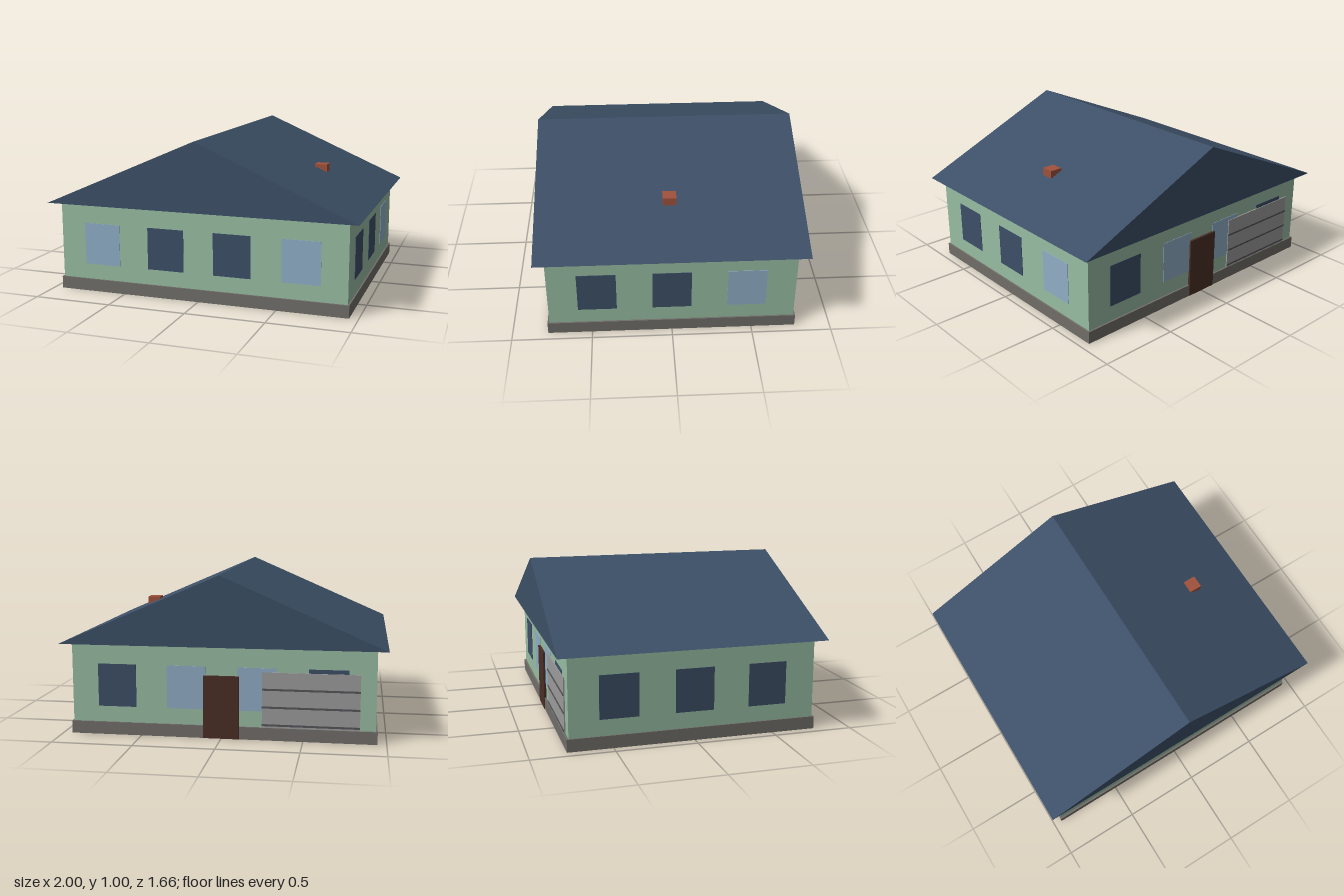
import * as THREE from 'three';

const mat = (name, color) => {
  const m = new THREE.MeshStandardMaterial({ color });
  m.name = name;
  return m;
};

export function createModel() {
  const house = new THREE.Group();
  house.name = 'house';

  const wallGreen = mat('wall green', 0x98bda3);
  const slate = mat('roof slate blue', 0x3d5067);
  const stone = mat('foundation grey', 0x716e69);
  const darkGlass = mat('dark glass', 0x3d4f67);
  const lightGlass = mat('light glass', 0x90aec6);
  const brick = mat('chimney brick', 0xa0523d);
  const wood = mat('door brown', 0x4a2f26);
  const panelGrey = mat('garage grey', 0x9c9c9c);
  const grooveGrey = mat('groove grey', 0x55555a);

  const add = (name, geometry, material, x = 0, y = 0, z = 0) => {
    const mesh = new THREE.Mesh(geometry, material);
    mesh.name = name;
    mesh.position.set(x, y, z);
    house.add(mesh);
    return mesh;
  };
  // Box given by its low and high corners
  const block = (name, material, [x0, y0, z0], [x1, y1, z1]) =>
    add(name, new THREE.BoxGeometry(x1 - x0, y1 - y0, z1 - z0), material,
      (x0 + x1) / 2, (y0 + y1) / 2, (z0 + z1) / 2);

  const WX = 0.935, WZ = 0.765, EAVES = 0.572;

  // Walls, closed underneath
  block('walls', wallGreen, [-WX, 0, -WZ], [WX, EAVES, WZ]);

  // Foundation band around the foot of the walls
  const rect = (Type, w, d) => new Type([
    new THREE.Vector2(-w, -d), new THREE.Vector2(w, -d),
    new THREE.Vector2(w, d), new THREE.Vector2(-w, d),
  ]);
  const band = rect(THREE.Shape, 0.945, 0.777);
  band.holes.push(rect(THREE.Path, WX, WZ));
  const bandGeometry = new THREE.ExtrudeGeometry(band, { depth: 0.078, bevelEnabled: false });
  bandGeometry.rotateX(-Math.PI / 2);
  add('foundation', bandGeometry, stone);

  // Gable roof
  const gable = new THREE.Shape([
    new THREE.Vector2(-1, 0), new THREE.Vector2(1, 0), new THREE.Vector2(0, 0.433),
  ]);
  add('roof', new THREE.ExtrudeGeometry(gable, { depth: 1.66, bevelEnabled: false }),
    slate, 0, EAVES, -0.83);

  // Chimney
  block('chimney', brick, [0.55, 0.6, -0.042], [0.632, 0.782, 0.042]);

  // Windows: thin plates on each wall, L = light, D = dark
  const T = 0.006;
  const windowRow = (name, glass, spots, side, wall) => {
    spots.forEach((s, i) => {
      const material = glass[i] === 'L' ? lightGlass : darkGlass;
      const long = wall === 'x';
      const geometry = new THREE.BoxGeometry(long ? T : 0.24, 0.267, long ? 0.24 : T);
      add(name, geometry, material,
        long ? side * WX : s, 0.311, long ? s : side * WZ);
    });
  };
  const wide = [-0.651, -0.217, 0.217, 0.651], narrow = [-0.462, 0, 0.462];
  windowRow('frontWindow', 'LDDL', wide, 1, 'z');
  windowRow('backWindow', 'DLLD', wide, -1, 'z');
  windowRow('rightSideWindow', 'LDD', narrow, 1, 'x');
  windowRow('leftSideWindow', 'DDD', narrow, -1, 'x');

  // Back door
  block('backDoor', wood, [-0.11, 0, -0.78], [0.11, 0.39, -0.76]);

  // Garage door with horizontal grooves
  block('garageDoor', panelGrey, [-0.84, 0.03, -0.773], [-0.25, 0.42, -0.76]);
  for (const y of [0.095, 0.205, 0.315]) {
    block('garageGroove', grooveGrey, [-0.84, y - 0.006, -0.777], [-0.25, y + 0.006, -0.77]);
  }

  return house;
}
